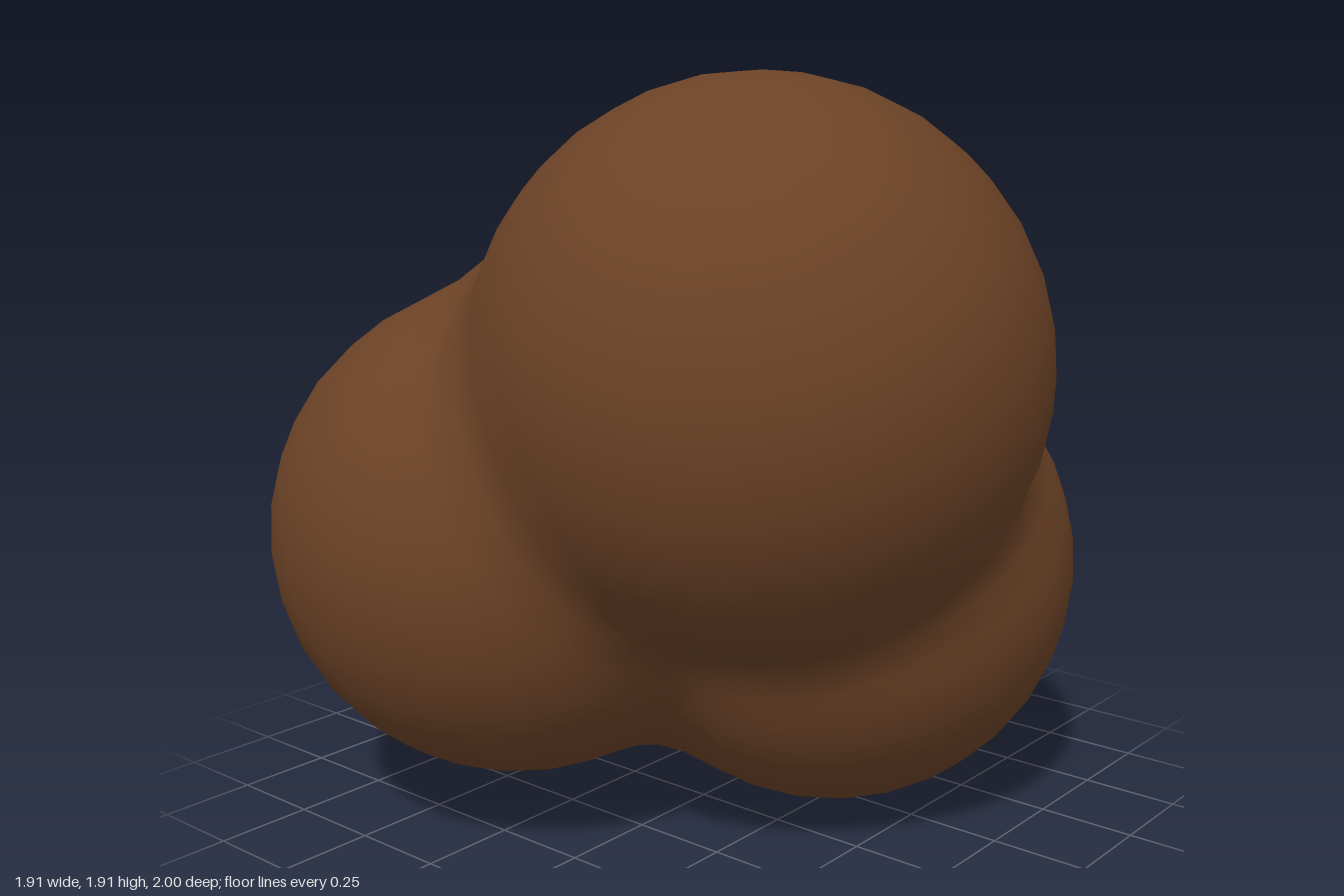
import * as THREE from 'three';
import { mergeVertices } from 'three/addons/utils/BufferGeometryUtils.js';

// Lobes of the lump: centre x, y, z and radius
const CORE = new THREE.Vector3(0, 0.85, 0);
const lobe = (x, y, z, r) => ({ c: new THREE.Vector3(x, y, z).sub(CORE), r });
const topFront = lobe(-0.17, 1.22, 0.31, 0.69);
const lowerLeft = lobe(0.3, 0.64, 0.19, 0.64);
const lowerRight = lobe(-0.32, 0.76, -0.35, 0.63);
const back = lobe(0.29, 0.74, -0.335, 0.67);
const shoulder = lobe(0.1, 1.08, -0.12, 0.635);

// Distance from the core to a lobe's far surface along direction d
function reach(d, { c, r }) {
  const b = d.dot(c);
  return b + Math.sqrt(Math.max(0, b * b - c.lengthSq() + r * r));
}

// Rounded maximum: k sets how softly two lobes flow together
function blend(a, b, k) {
  const h = Math.max(k - Math.abs(a - b), 0) / k;
  return Math.max(a, b) + h * h * k * 0.25;
}

export function createModel() {
  const brown = new THREE.MeshStandardMaterial({ color: 0x6b4226 });
  brown.name = 'brown';

  // Sphere pushed out to the blended lobes
  const ball = new THREE.IcosahedronGeometry(1, 9);
  ball.deleteAttribute('uv');
  ball.deleteAttribute('normal');
  const geometry = mergeVertices(ball, 1e-4);
  const pos = geometry.attributes.position;
  const d = new THREE.Vector3();
  for (let i = 0; i < pos.count; i++) {
    d.fromBufferAttribute(pos, i).normalize();
    let t = blend(reach(d, lowerRight), reach(d, back), 0.28);
    t = blend(t, reach(d, shoulder), 0.14);
    t = blend(t, reach(d, topFront), 0.14);
    t = blend(t, reach(d, lowerLeft), 0.14);
    d.multiplyScalar(t).add(CORE);
    pos.setXYZ(i, d.x, d.y, d.z);
  }
  geometry.computeVertexNormals();

  const lump = new THREE.Mesh(geometry, brown);
  lump.name = 'lump';
  const group = new THREE.Group();
  group.name = 'lumpyBlob';
  group.add(lump);
  return group;
}
